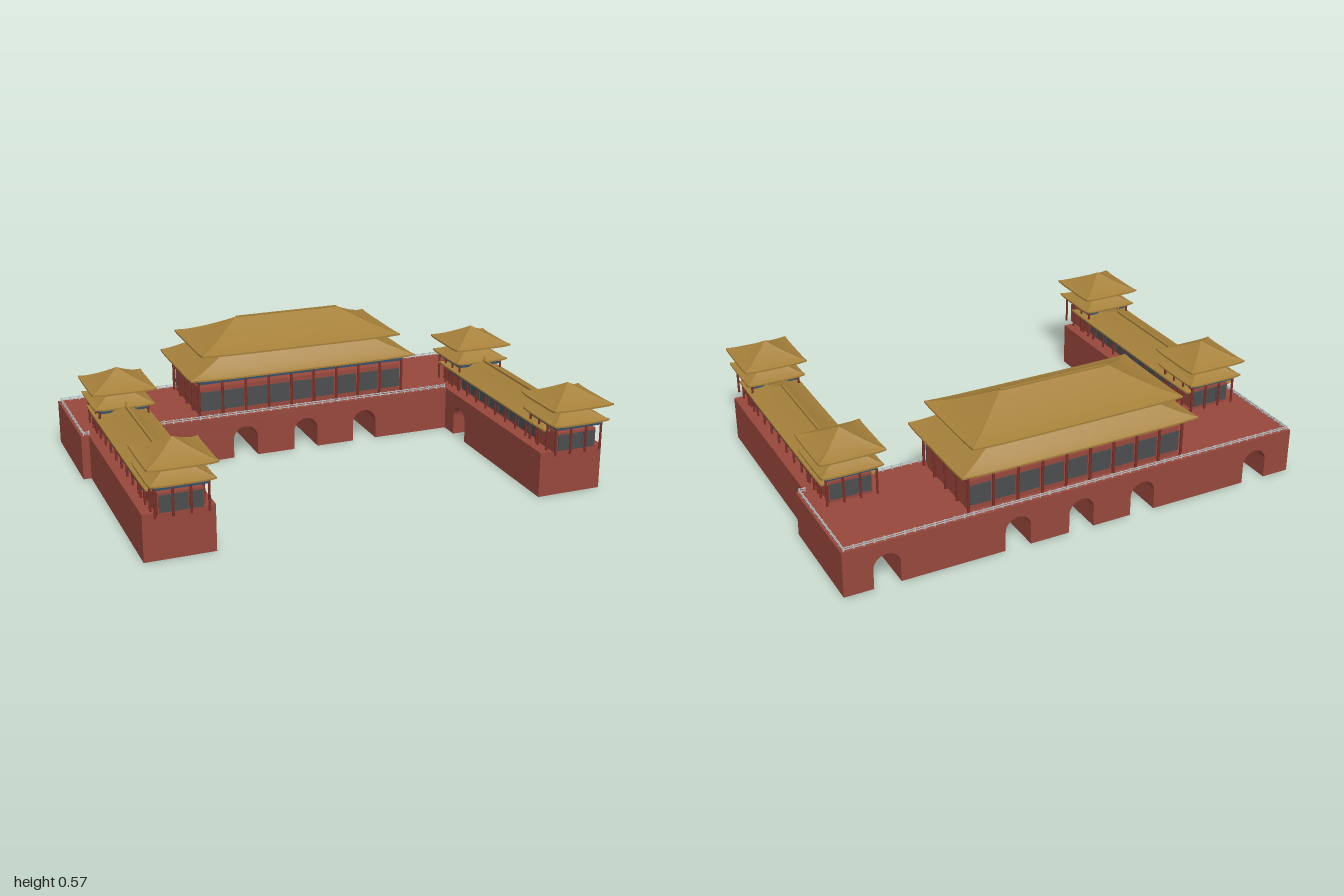
import * as THREE from 'three';

const mat = (name, color) => Object.assign(new THREE.MeshStandardMaterial({ color }), { name });

export function createModel() {
  const root = new THREE.Group();
  root.name = 'gateComplex';
  const M = {
    wall: mat('wallRed', 0x98483d),
    roof: mat('roofGold', 0xa5803a),
    column: mat('columnRed', 0x7c3029),
    window: mat('windowGrey', 0x4b4d4e),
    beam: mat('beamBlue', 0x34506a),
    rail: mat('railStone', 0xb9c0c2),
  };
  const add = (parent, name, geo, material, x = 0, y = 0, z = 0) => {
    const m = new THREE.Mesh(geo, material);
    m.name = name;
    m.position.set(x, y, z);
    parent.add(m);
    return m;
  };
  // Box given by its extents
  const block = (p, name, material, x0, x1, y0, y1, z0, z1) =>
    add(p, name, new THREE.BoxGeometry(x1 - x0, y1 - y0, z1 - z0), material,
      (x0 + x1) / 2, (y0 + y1) / 2, (z0 + z1) / 2);
  const group = (p, name, x = 0, y = 0, z = 0) => {
    const g = new THREE.Group();
    g.name = name;
    g.position.set(x, y, z);
    p.add(g);
    return g;
  };

  const H = 0.192, R = 0.055, SPRING = 0.083, WX = 0.825;

  // Wall outline with arched passages cut from the bottom edge
  const archedWall = (x0, x1, arches, depth) => {
    const s = new THREE.Shape();
    s.moveTo(x0, H);
    s.lineTo(x0, 0);
    for (const c of arches) {
      s.lineTo(c - R, 0);
      s.lineTo(c - R, SPRING);
      s.absarc(c, SPRING, R, Math.PI, 0, true);
      s.lineTo(c + R, 0);
    }
    s.lineTo(x1, 0);
    s.lineTo(x1, H);
    s.closePath();
    return new THREE.ExtrudeGeometry(s, { depth, bevelEnabled: false, curveSegments: 16 });
  };

  // Concave hipped roof with lifted corners, edge and soffit
  const hipRoof = (p, name, hx, hz, tx, tz, y0, y1, lift = 0.008, power = 1.35) => {
    const N = 16, ROWS = 8, TH = 0.007, pos = [], idx = [];
    const row = (t) => ({
      a: hx + (tx - hx) * t, b: hz + (tz - hz) * t,
      y: y0 + (y1 - y0) * Math.pow(t, power), l: lift * (1 - t) ** 2,
    });
    const eave = row(0), under = { ...eave, y: y0 - TH };
    const centre = { a: Math.max(hx - hz, 0), b: Math.max(hz - hx, 0), y: y0 - TH, l: 0 };
    const patch = (rows) => {
      for (let k = 0; k < 4; k++) {
        const base = pos.length / 3;
        for (const r of rows) for (let i = 0; i <= N; i++) {
          const s = (i / N) * 2 - 1;
          const [x, z] = [[s * r.a, r.b], [r.a, -s * r.b], [-s * r.a, -r.b], [-r.a, s * r.b]][k];
          pos.push(x, r.y + r.l * s ** 6, z);
        }
        for (let j = 0; j < rows.length - 1; j++) for (let i = 0; i < N; i++) {
          const a = base + j * (N + 1) + i, d = a + N + 1;
          idx.push(a, a + 1, d, a + 1, d + 1, d);
        }
      }
    };
    patch(Array.from({ length: ROWS + 1 }, (_, j) => row(j / ROWS)));
    patch([under, eave]);
    patch([centre, under]);
    const g = new THREE.BufferGeometry();
    g.setAttribute('position', new THREE.Float32BufferAttribute(pos, 3));
    g.setIndex(idx);
    g.computeVertexNormals();
    return add(p, name, g, M.roof);
  };

  // Rectangle of columns carrying a blue beam and small brackets
  const colonnade = (p, hx, hz, nx, nz, top, r, bracketH) => {
    const geo = new THREE.CylinderGeometry(r, r, top - H, 8);
    const y = (top + H) / 2;
    for (const s of [-1, 1]) {
      for (let i = 0; i < nx; i++) add(p, 'column', geo, M.column, -hx + 2 * hx * i / (nx - 1), y, s * hz);
      for (let i = 1; i < nz - 1; i++) add(p, 'column', geo, M.column, s * hx, y, -hz + 2 * hz * i / (nz - 1));
      block(p, 'beam', M.beam, -hx, hx, top - 0.012, top, s * hz - 0.004, s * hz + 0.004);
      block(p, 'beam', M.beam, s * hx - 0.004, s * hx + 0.004, top - 0.012, top, -hz, hz);
      const bracket = new THREE.BoxGeometry(0.013, bracketH, 0.013);
      const bx = Math.round(hx / 0.0125), bz = Math.round(hz / 0.0125);
      for (let i = 0; i <= bx; i++) add(p, 'bracket', bracket, M.beam, -hx + 2 * hx * i / bx, top + bracketH / 2, s * hz);
      for (let i = 1; i < bz; i++) add(p, 'bracket', bracket, M.beam, s * hx, top + bracketH / 2, -hz + 2 * hz * i / bz);
    }
  };

  // Platform with five passages
  const Z0 = -0.705, Z1 = -0.232;
  add(root, 'platform', archedWall(-1, 1, [-WX, -0.28, 0, 0.28, WX], Z1 - Z0), M.wall, 0, 0, Z0);

  // Stone railing round the platform
  const railing = group(root, 'railing');
  const rail = (x0, z0, x1, z1) => {
    const len = Math.hypot(x1 - x0, z1 - z0), n = Math.round(len / 0.04), t = 0.0015;
    for (const y of [0.198, 0.206])
      block(railing, 'rail', M.rail, Math.min(x0, x1) - t, Math.max(x0, x1) + t, y - t, y + t,
        Math.min(z0, z1) - t, Math.max(z0, z1) + t);
    for (let i = 0; i <= n; i++)
      add(railing, 'railPost', new THREE.BoxGeometry(0.005, 0.018, 0.005), M.rail,
        x0 + (x1 - x0) * i / n, H + 0.009, z0 + (z1 - z0) * i / n);
  };
  rail(-0.988, -0.695, 0.988, -0.695);
  rail(-0.68, -0.24, 0.68, -0.24);
  for (const s of [-1, 1]) {
    rail(s * 0.988, -0.695, s * 0.988, -0.24);
    rail(s * 0.965, -0.24, s * 0.988, -0.24);
  }

  // Main hall
  const hall = group(root, 'mainHall', 0, 0, -0.47);
  block(hall, 'hallWall', M.wall, -0.468, 0.468, H, 0.318, -0.185, 0.185);
  for (const s of [-1, 1]) for (let i = 0; i < 9; i++) {
    const x = -0.475 + 0.95 * (i + 0.5) / 9;
    add(hall, 'hallWindow', new THREE.BoxGeometry(0.096, 0.085, 0.006), M.window, x, 0.256, s * 0.186);
  }
  colonnade(hall, 0.475, 0.2, 10, 5, 0.352, 0.006, 0.012);
  hipRoof(hall, 'lowerRoof', 0.52, 0.243, 0.36, 0.155, 0.37, 0.443, 0.006, 1.15);
  block(hall, 'upperWall', M.wall, -0.362, 0.362, 0.43, 0.468, -0.152, 0.152);
  hipRoof(hall, 'upperRoof', 0.46, 0.215, 0.238, 0, 0.465, 0.565, 0.005, 1.25);
  block(hall, 'ridge', M.roof, -0.238, 0.238, 0.555, 0.568, -0.005, 0.005);

  // Two-tiered corner pavilion
  const pavilion = (p, z) => {
    const g = group(p, 'pavilion', 0, 0, z);
    block(g, 'pavilionWall', M.wall, -0.088, 0.088, H, 0.283, -0.088, 0.088);
    for (const s of [-1, 1]) for (let i = -1; i <= 1; i++)
      add(g, 'pavilionWindow', new THREE.BoxGeometry(0.054, 0.068, 0.006), M.window, i * 0.057, 0.24, s * 0.089);
    colonnade(g, 0.103, 0.103, 4, 4, 0.313, 0.005, 0.007);
    hipRoof(g, 'lowerRoof', 0.126, 0.126, 0.025, 0.025, 0.325, 0.383, 0.005, 1.25);
    block(g, 'neck', M.wall, -0.035, 0.035, 0.36, 0.39, -0.035, 0.035);
    hipRoof(g, 'upperRoof', 0.135, 0.135, 0, 0, 0.392, 0.461, 0.005, 1.25);
  };

  // Side wings, mirrored
  for (const side of [-1, 1]) {
    const wing = group(root, side > 0 ? 'leftWing' : 'rightWing', side * WX);
    const bend = -0.145, front = 0.632, hw = 0.141;
    // Rear length carries the passage on; the next bends it to the inner side
    add(wing, 'wingRear', archedWall(-hw, hw, [0], bend - Z1), M.wall, 0, 0, Z1);
    const prof = new THREE.Shape();
    prof.moveTo(-bend, H);
    prof.lineTo(-front, H);
    prof.lineTo(-front, 0);
    prof.lineTo(-bend - 2 * R, 0);
    prof.lineTo(-bend - 2 * R, SPRING);
    prof.absarc(-bend - R, SPRING, R, Math.PI, 0, true);
    prof.closePath();
    const inner = add(wing, 'wingInner',
      new THREE.ExtrudeGeometry(prof, { depth: hw + R, bevelEnabled: false, curveSegments: 16 }),
      M.wall, side > 0 ? -hw : -R);
    inner.rotation.y = Math.PI / 2;
    const [a, b] = side > 0 ? [R, hw] : [-hw, -R];
    block(wing, 'wingOuter', M.wall, a, b, 0, H, bend, front);

    // Gallery between the pavilions
    const gallery = group(wing, 'gallery', 0, 0, 0.122);
    block(gallery, 'galleryWall', M.wall, -0.08, 0.08, H, 0.252, -0.42, 0.42);
    for (const s of [-1, 1]) for (let i = 0; i < 9; i++)
      add(gallery, 'galleryWindow', new THREE.BoxGeometry(0.006, 0.042, 0.08), M.window,
        s * 0.081, 0.222, (i - 4) * 0.089);
    colonnade(gallery, 0.1, 0.4, 3, 10, 0.264, 0.005, 0.006);
    hipRoof(gallery, 'galleryRoof', 0.118, 0.485, 0, 0.258, 0.276, 0.333, 0.004, 1.2);
    block(gallery, 'ridge', M.roof, -0.005, 0.005, 0.325, 0.339, -0.258, 0.258);
    for (const s of [-1, 1])
      add(gallery, 'ridgeOrnament', new THREE.CylinderGeometry(0.002, 0.006, 0.024, 6), M.roof, 0, 0.345, s * 0.258);

    pavilion(wing, 0.577);
    pavilion(wing, -0.28);
  }
  return root;
}
